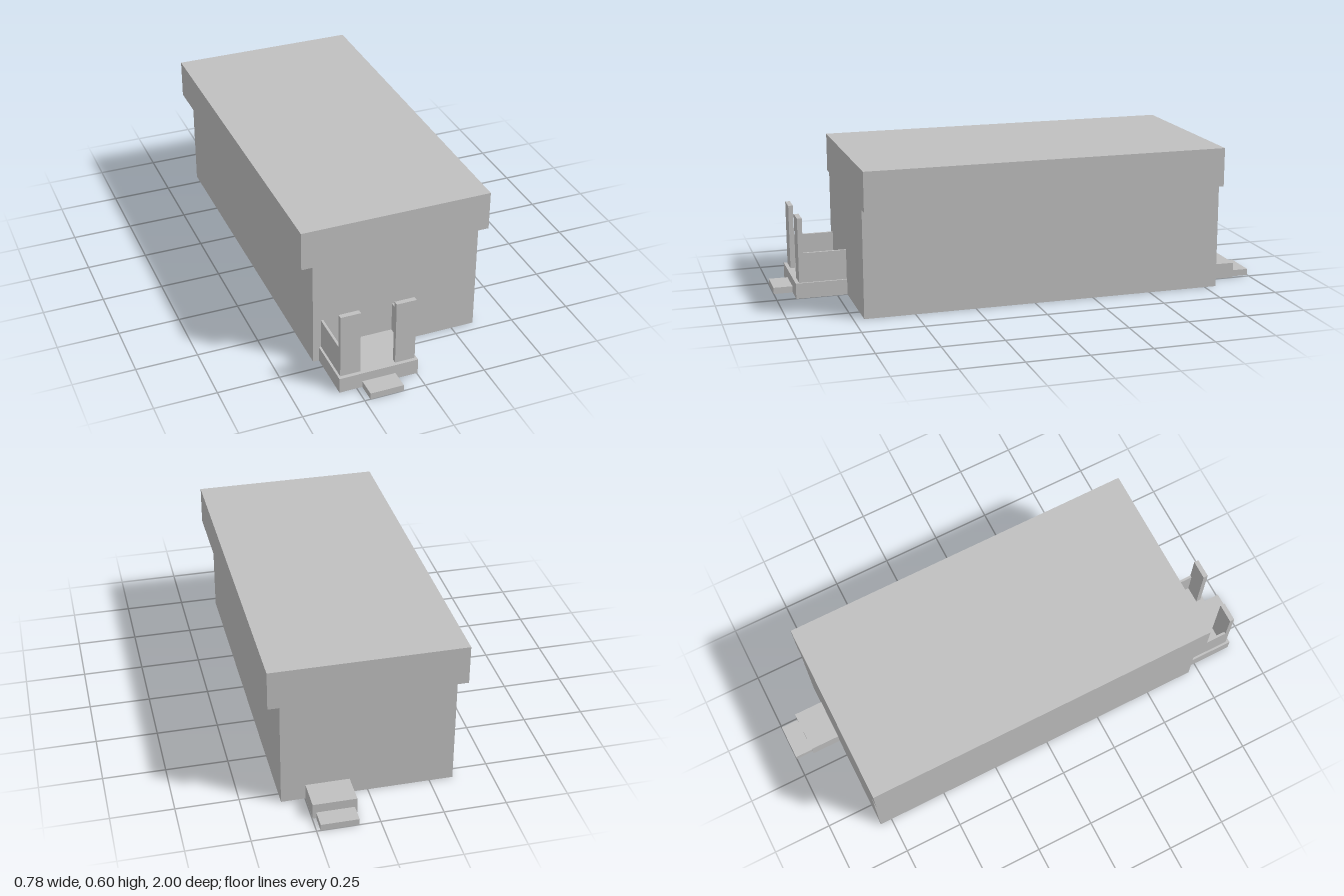
import * as THREE from 'three';

export function createModel() {
  const model = new THREE.Group();
  model.name = 'boxBuilding';
  const grey = new THREE.MeshStandardMaterial({ color: 0xc0c0c0 });
  grey.name = 'grey';

  // Box given by its lower and upper limits on each axis
  function block(name, [x0, x1], [y0, y1], [z0, z1], parent = model) {
    const mesh = new THREE.Mesh(new THREE.BoxGeometry(x1 - x0, y1 - y0, z1 - z0), grey);
    mesh.position.set((x0 + x1) / 2, (y0 + y1) / 2, (z0 + z1) / 2);
    mesh.name = name;
    parent.add(mesh);
  }

  // Main hall and the overhanging flat roof, flush at both ends
  const length = [-0.8, 0.708];
  block('body', [-0.345, 0.345], [0, 0.443], length);
  block('roof', [-0.39, 0.39], [0.443, 0.604], length);

  // Front porch with step
  const porch = new THREE.Group();
  porch.name = 'frontPorch';
  model.add(porch);
  block('porchFloor', [-0.321, 0.004], [0, 0.065], [0.708, 0.921], porch);
  block('porchStep', [-0.227, -0.09], [0, 0.027], [0.921, 1], porch);

  // Mirrored posts and low side walls about the porch centre line
  const centre = -0.158;
  for (const side of [-1, 1]) {
    const span = (inner, outer) =>
      [centre + side * inner, centre + side * outer].sort((a, b) => a - b);
    const label = side < 0 ? 'right' : 'left';
    block(label + 'Post', span(0.072, 0.154), [0.065, 0.337], [0.886, 0.906], porch);
    block(label + 'SideWall', span(0.144, 0.154), [0.065, 0.19], [0.708, 0.886], porch);
  }

  // Back landing with step
  block('backLanding', [0.073, 0.248], [0, 0.065], [-0.925, -0.8]);
  block('backStep', [0.083, 0.234], [0, 0.027], [-1, -0.925]);

  return model;
}
